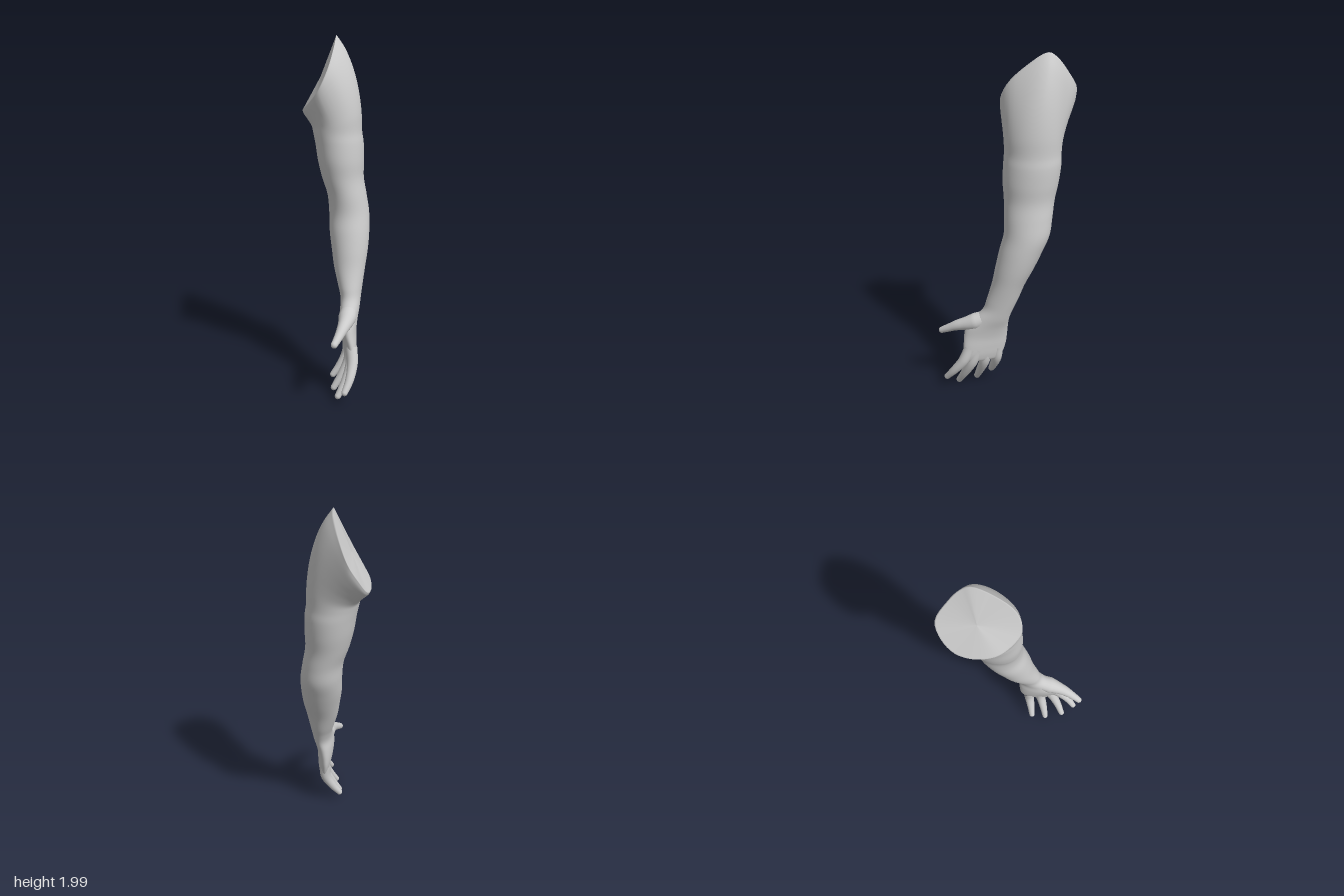
import * as THREE from 'three';

const SIDES = 48;
const V = (x, y, z) => new THREE.Vector3(x, y, z);
const material = new THREE.MeshStandardMaterial({ color: 0xcccccc });

// Skins a list of closed rings with a smooth surface.
function loft(name, rings) {
  const n = rings[0].length, index = [];
  for (let i = 0; i < rings.length - 1; i++) {
    for (let j = 0; j < n; j++) {
      const k = (j + 1) % n;
      const a = i * n + j, b = i * n + k, c = a + n, d = b + n;
      index.push(a, c, b, b, c, d);
    }
  }
  const geometry = new THREE.BufferGeometry().setFromPoints(rings.flat());
  geometry.setIndex(index);
  geometry.computeVertexNormals();
  const mesh = new THREE.Mesh(geometry, material);
  mesh.name = name;
  return mesh;
}

// Tapered digit along a curve, with a rounded tip.
function digit(name, points, radii) {
  const n = 20, steps = 24;
  const curve = new THREE.CatmullRomCurve3(points.map((p) => V(...p)));
  const frames = curve.computeFrenetFrames(steps);
  const ring = (centre, r, i) => Array.from({ length: n }, (_, j) => {
    const a = (j / n) * Math.PI * 2;
    return centre.clone()
      .addScaledVector(frames.normals[i], r * Math.cos(a))
      .addScaledVector(frames.binormals[i], -r * Math.sin(a));
  });
  const rings = [];
  for (let i = 0; i <= steps; i++) {
    const u = (i / steps) * (radii.length - 1);
    const k = Math.min(Math.floor(u), radii.length - 2);
    rings.push(ring(curve.getPointAt(i / steps), THREE.MathUtils.lerp(radii[k], radii[k + 1], u - k), i));
  }
  const tip = radii[radii.length - 1], end = curve.getPointAt(1);
  for (let s = 1; s <= 6; s++) {
    const a = (s / 6) * Math.PI / 2;
    const centre = end.clone().addScaledVector(frames.tangents[steps], tip * Math.sin(a));
    rings.push(ring(centre, Math.max(tip * Math.cos(a), 0.0002), steps));
  }
  return loft(name, rings);
}

// Cross-sections from knuckles to mid upper arm: y, xMin, xMax, zMin, zMax, lean of x along z.
const SECTIONS = [
  [0.195, 0.125, 0.135, 0.06, 0.20, 0.25],
  [0.205, 0.108, 0.156, 0.028, 0.235, 0.25],
  [0.24, 0.098, 0.164, 0.008, 0.24, 0.25],
  [0.30, 0.08, 0.164, -0.01, 0.237, 0.22],
  [0.36, 0.066, 0.162, -0.017, 0.235, 0.15],
  [0.42, 0.06, 0.166, -0.022, 0.222, 0.08],
  [0.48, 0.064, 0.172, -0.03, 0.175, 0],
  [0.54, 0.058, 0.175, -0.052, 0.12, 0],
  [0.60, 0.04, 0.18, -0.08, 0.10, 0],
  [0.70, 0.01, 0.19, -0.12, 0.07, 0],
  [0.80, -0.01, 0.20, -0.17, 0.05, 0],
  [0.90, -0.028, 0.202, -0.215, 0.028, 0],
  [1.00, -0.036, 0.195, -0.255, 0.003, 0],
  [1.10, -0.047, 0.178, -0.268, 0, 0],
  [1.20, -0.08, 0.16, -0.28, 0.003, 0],
  [1.30, -0.105, 0.16, -0.30, 0.01, 0],
  [1.40, -0.122, 0.155, -0.312, 0.006, 0],
  [1.46, -0.135, 0.146, -0.312, 0.002, 0],
];

// Slanted rim where the arm ends at the shoulder.
const RIM = [
  [-0.015, 1.995, -0.23], [-0.01, 1.93, -0.12], [-0.025, 1.82, -0.01], [-0.07, 1.71, 0.025],
  [-0.13, 1.635, -0.02], [-0.18, 1.59, -0.09], [-0.205, 1.57, -0.2], [-0.2, 1.59, -0.29],
  [-0.17, 1.67, -0.36], [-0.12, 1.77, -0.393], [-0.06, 1.89, -0.335], [-0.025, 1.97, -0.275],
];

function buildArm() {
  const rim = new THREE.CatmullRomCurve3(RIM.map((p) => V(...p)), true);
  const steps = 130;
  const rings = Array.from({ length: steps + 1 }, () => []);
  for (let j = 0; j < SIDES; j++) {
    const a = (j / SIDES) * Math.PI * 2, c = Math.cos(a), s = Math.sin(a);
    const line = SECTIONS.map(([y, x0, x1, z0, z1, lean]) => {
      const dz = s * (z1 - z0) / 2;
      return V((x0 + x1) / 2 + c * (x1 - x0) / 2 + lean * dz, y, (z0 + z1) / 2 + dz);
    });
    // Shoulder swells from the last section up to the rim
    const start = line[line.length - 1], end = rim.getPoint(j / SIDES);
    const h = end.y - start.y;
    const swell = new THREE.CubicBezierCurve3(
      start,
      start.clone().add(V(0, h * 0.4, 0)),
      end.clone().add(V(0.1 * Math.max(0, c), -0.22 * h, 0)),
      end);
    line.push(...swell.getPoints(6).slice(1));
    const curve = new THREE.CatmullRomCurve3(line);
    for (let i = 0; i <= steps; i++) rings[i].push(curve.getPoint(i / steps));
  }
  // Close the knuckle end and the flat shoulder cut
  const shrink = (ring, k) => {
    const mid = ring.reduce((sum, p) => sum.add(p), V(0, 0, 0)).divideScalar(ring.length);
    return ring.map((p) => p.clone().lerp(mid, 1 - k));
  };
  const first = rings[0], last = rings[steps];
  rings.unshift(shrink(first, 0.001));
  for (const k of [0.97, 0.9, 0.75, 0.4, 0.001]) rings.push(shrink(last, k));
  return loft('armAndPalm', rings);
}

export function createModel() {
  const model = new THREE.Group();
  model.name = 'arm';
  model.add(buildArm());

  // Thumb
  model.add(digit('thumb',
    [[0.118, 0.475, 0.1], [0.117, 0.445, 0.19], [0.107, 0.42, 0.27], [0.092, 0.39, 0.33], [0.08, 0.369, 0.368]],
    [0.046, 0.05, 0.036, 0.026, 0.019]));

  // Fingers, curling slightly toward the palm
  const fingers = {
    indexFinger: [[0.148, 0.29, 0.2], [0.16, 0.21, 0.238], [0.153, 0.135, 0.295], [0.133, 0.078, 0.34]],
    middleFinger: [[0.138, 0.28, 0.15], [0.144, 0.19, 0.188], [0.12, 0.1, 0.233], [0.084, 0.022, 0.272]],
    ringFinger: [[0.122, 0.28, 0.1], [0.122, 0.19, 0.115], [0.086, 0.1, 0.143], [0.042, 0.023, 0.167]],
    littleFinger: [[0.105, 0.28, 0.04], [0.1, 0.2, 0.045], [0.062, 0.12, 0.064], [0.022, 0.063, 0.08]],
  };
  for (const [name, points] of Object.entries(fingers)) {
    model.add(digit(name, points, [0.034, 0.031, 0.025, 0.018]));
  }
  return model;
}
